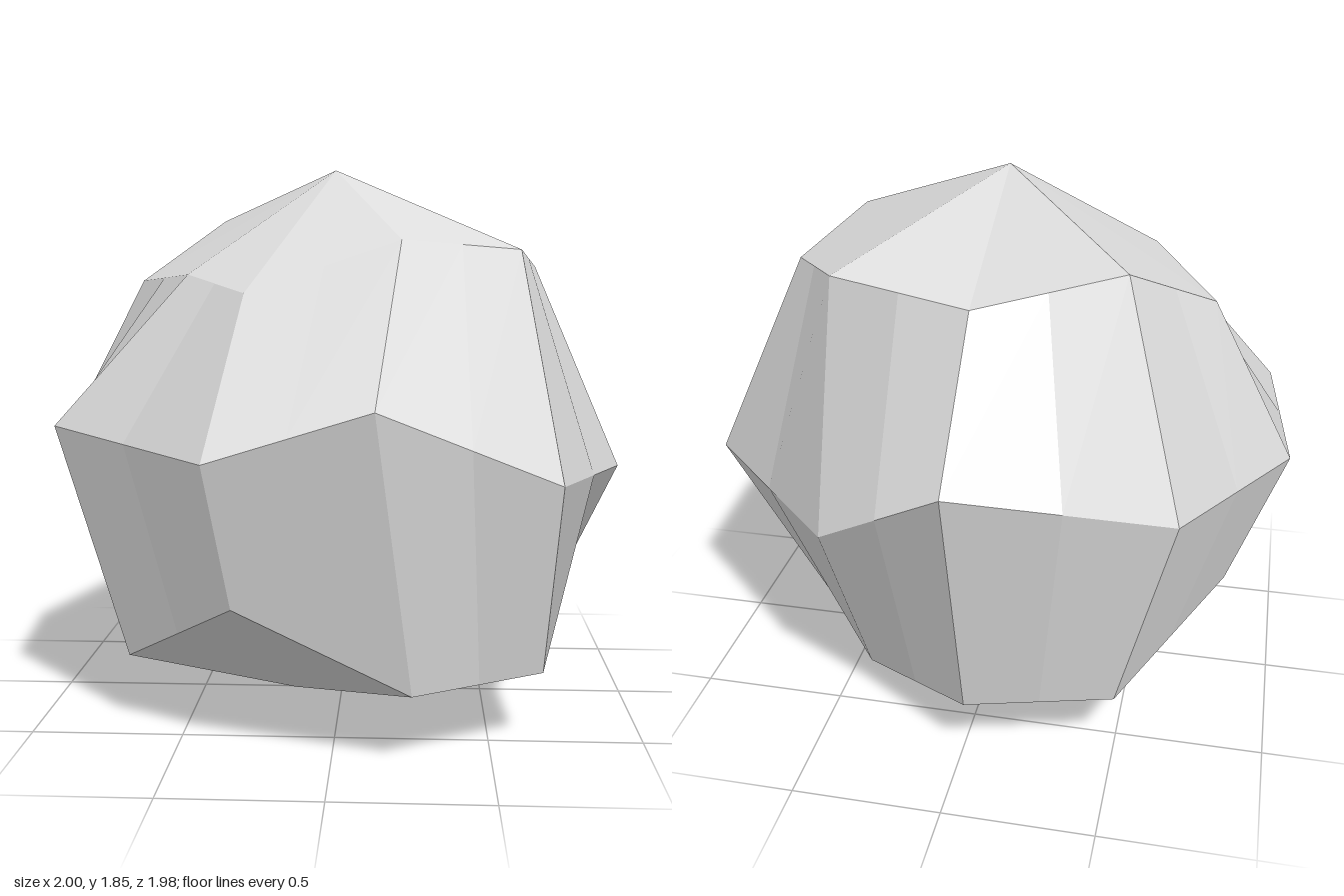
import * as THREE from 'three';

// Three jittered rings of nine points, listed from the back round by +x
const upperRing = [
  [-0.02, 1.57, -0.6], [0.43, 1.62, -0.53], [0.68, 1.52, -0.11],
  [0.59, 1.58, 0.37], [0.21, 1.61, 0.52], [-0.26, 1.45, 0.68],
  [-0.48, 1.5, 0.37], [-0.72, 1.47, -0.11], [-0.48, 1.69, -0.53],
];
const middleRing = [
  [-0.02, 1.15, -1.0], [0.47, 0.78, -0.68], [1.0, 0.8, -0.165],
  [0.7, 0.88, 0.73], [0.14, 1.13, 0.98], [-0.37, 0.96, 0.87],
  [-0.92, 1.01, 0.41], [-1.0, 0.96, -0.165], [-0.68, 0.965, -0.7],
];
const lowerRing = [
  [-0.02, 0.24, -0.75], [0.39, 0.14, -0.45], [0.63, 0.24, -0.19],
  [0.67, 0.24, 0.53], [0.25, 0.24, 0.78], [-0.3, 0.5, 0.77],
  [-0.69, 0.24, 0.41], [-0.82, 0.48, -0.18], [-0.5, 0.24, -0.62],
];
const topPoint = [-0.02, 1.85, 0.01];
const bottomPoint = [-0.17, 0, 0.01];

const vectors = (ring) => ring.map((p) => new THREE.Vector3(...p));
const middle = (p, q) => p.clone().lerp(q, 0.5);

function rockGeometry() {
  const positions = [];
  const normals = [];

  // Flat face with one normal; a four-sided face takes it from its diagonals
  const face = (a, b, c, d) => {
    const across = d ? d.clone().sub(b) : c.clone().sub(b);
    const normal = c.clone().sub(a).cross(across).normalize();
    for (const p of d ? [a, b, c, a, c, d] : [a, b, c]) {
      positions.push(p.x, p.y, p.z);
      normals.push(normal.x, normal.y, normal.z);
    }
  };

  // Twisted four-sided facet, creased down its middle
  const facet = (a, b, c, d) => {
    const upper = middle(a, b);
    const lower = middle(d, c);
    face(a, upper, lower, d);
    face(upper, b, c, lower);
  };

  const [top, mid, low] = [upperRing, middleRing, lowerRing].map(vectors);
  const [peak, base] = vectors([topPoint, bottomPoint]);
  for (let i = 0; i < top.length; i++) {
    const j = (i + 1) % top.length;
    face(peak, top[j], top[i]);
    facet(top[i], top[j], mid[j], mid[i]);
    facet(mid[i], mid[j], low[j], low[i]);
    face(base, low[i], low[j]);
  }

  const geometry = new THREE.BufferGeometry();
  geometry.setAttribute('position', new THREE.Float32BufferAttribute(positions, 3));
  geometry.setAttribute('normal', new THREE.Float32BufferAttribute(normals, 3));
  return geometry;
}

export function createModel() {
  const stone = new THREE.MeshStandardMaterial({ color: 0xdcdcdc });
  stone.name = 'pale stone';

  const model = new THREE.Group();
  model.name = 'rock';
  const boulder = new THREE.Mesh(rockGeometry(), stone);
  boulder.name = 'boulder';
  model.add(boulder);
  return model;
}
